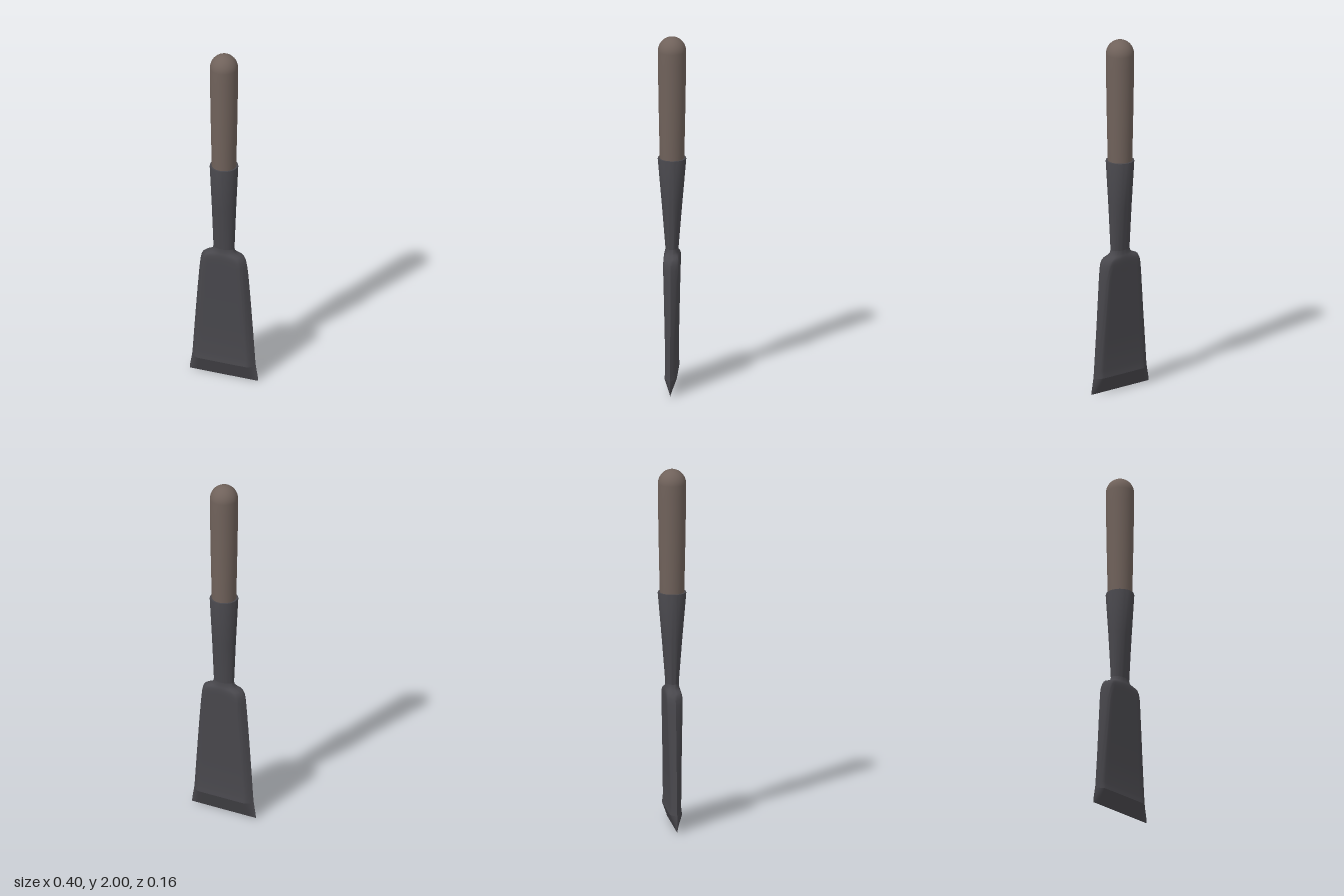
import * as THREE from 'three';
import { toCreasedNormals } from 'three/addons/utils/BufferGeometryUtils.js';

const N = 48;

// One ring: y, half width, half thickness, side bevel width, roundness (0 = bladed, 1 = ellipse)
function ring([y, w, t, b, round]) {
  const pts = [];
  for (let j = 0; j < N; j++) {
    const a = (2 * Math.PI * j) / N, c = Math.cos(a), s = Math.sin(a);
    const u = Math.asin(Math.min(1, Math.abs(s))) / (Math.PI / 2);
    const bx = Math.sign(c) * (u < 0.5 ? w - b * 2 * u : (w - b) * (2 - 2 * u));
    const bz = Math.sign(s) * t * (u < 0.5 ? Math.sin(u * Math.PI) : 1);
    pts.push(THREE.MathUtils.lerp(bx, w * c, round), y, THREE.MathUtils.lerp(bz, t * s, round));
  }
  return pts;
}

// Skin a stack of rings, bottom to top
function loft(sections) {
  const index = [];
  for (let i = 0; i < sections.length - 1; i++) {
    for (let j = 0; j < N; j++) {
      const k = (j + 1) % N;
      const a = i * N + j, b = i * N + k, c = a + N, d = b + N;
      index.push(a, c, b, b, c, d);
    }
  }
  const geo = new THREE.BufferGeometry();
  geo.setAttribute('position', new THREE.Float32BufferAttribute(sections.flatMap(ring), 3));
  geo.setIndex(index);
  return toCreasedNormals(geo, 0.9);
}

export function createModel() {
  const group = new THREE.Group();
  const steel = new THREE.MeshStandardMaterial({ color: 0x48474c });
  const wood = new THREE.MeshStandardMaterial({ color: 0x70625b });
  const add = (name, geo, mat) => {
    const mesh = new THREE.Mesh(geo, mat);
    mesh.name = name;
    group.add(mesh);
  };

  // Ground cutting edge
  add('cuttingEdge', loft([
    [0, 0.2, 0.0005, 0.05, 0],
    [0.02, 0.199, 0.008, 0.05, 0],
    [0.09, 0.187, 0.034, 0.05, 0],
  ]), steel);

  // Flaring blade and its rounded shoulders, running up into the neck
  add('blade', loft([
    [0.09, 0.187, 0.034, 0.05, 0],
    [0.105, 0.185, 0.032, 0.048, 0],
    [0.13, 0.183, 0.029, 0.045, 0],
    [0.3, 0.171, 0.032, 0.043, 0],
    [0.5, 0.156, 0.037, 0.04, 0],
    [0.64, 0.144, 0.041, 0.038, 0],
    [0.7, 0.137, 0.043, 0.036, 0],
    [0.73, 0.131, 0.044, 0.036, 0.05],
    [0.748, 0.122, 0.044, 0.036, 0.15],
    [0.758, 0.111, 0.043, 0.036, 0.3],
    [0.765, 0.094, 0.042, 0.034, 0.5],
    [0.772, 0.078, 0.04, 0.03, 0.7],
    [0.782, 0.066, 0.037, 0.03, 0.9],
    [0.8, 0.06, 0.036, 0.03, 1],
  ]), steel);

  // Socket: oval at the neck, circular at the rim, turned in to the handle
  add('socket', loft([
    [0.8, 0.06, 0.036, 0.03, 1],
    [1.05, 0.068, 0.056, 0.03, 1],
    [1.305, 0.078, 0.078, 0.03, 1],
    [1.31, 0.077, 0.077, 0.03, 1],
    [1.31, 0.062, 0.062, 0.03, 1],
  ]), steel);

  // Handle with a domed end
  const profile = [[0.06, 1.28], [0.067, 1.31], [0.073, 1.6], [0.077, 1.85]]
    .map(([x, y]) => new THREE.Vector2(x, y));
  for (let i = 0; i <= 12; i++) {
    const a = (i / 12) * Math.PI / 2;
    profile.push(new THREE.Vector2(0.077 * Math.cos(a), 1.92 + 0.08 * Math.sin(a)));
  }
  add('handle', new THREE.LatheGeometry(profile, 40), wood);

  return group;
}
